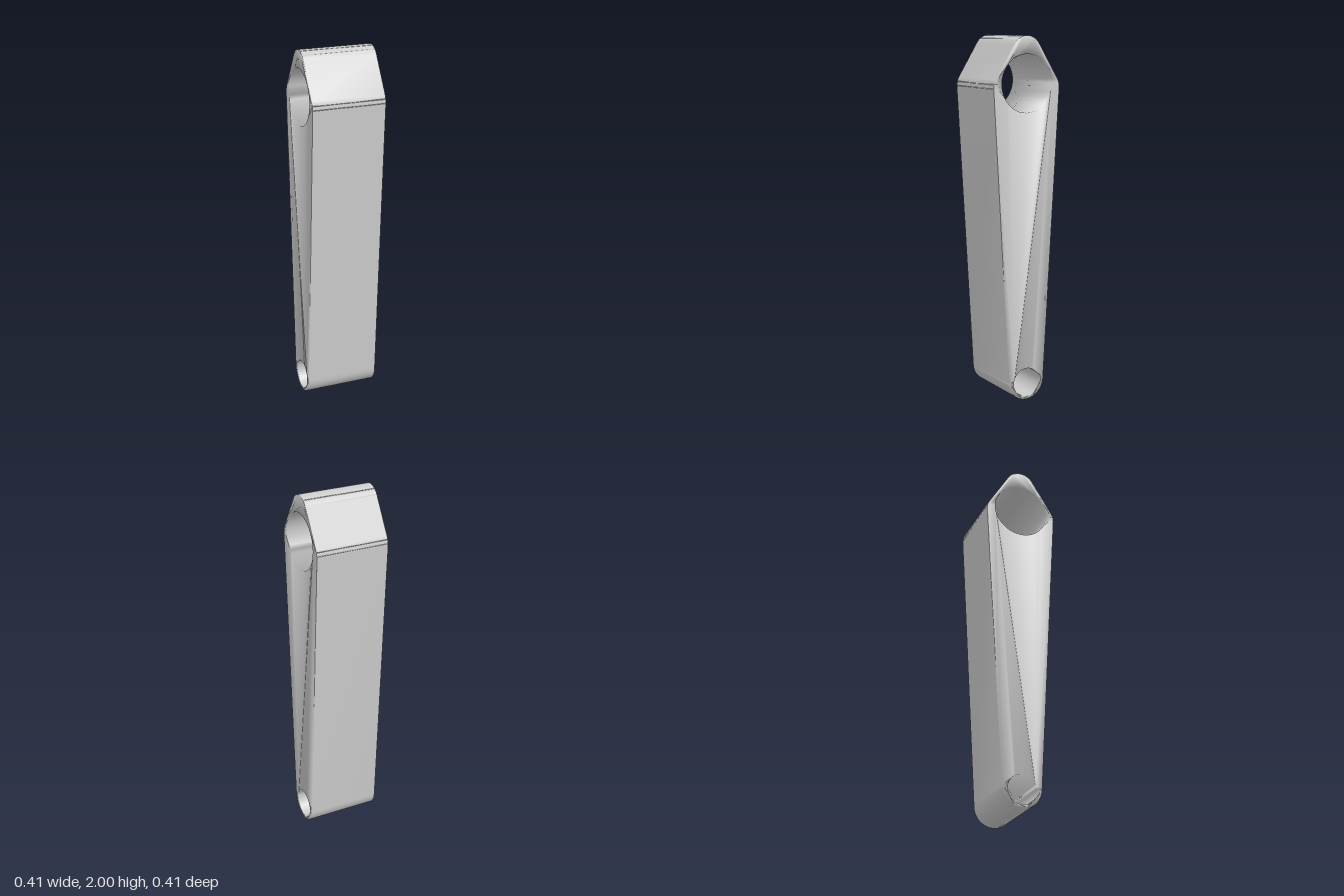
import * as THREE from 'three';
import { mergeVertices } from 'three/addons/utils/BufferGeometryUtils.js';

const WIDTH = 0.41;

// Tapering outline: rounded foot, straight flanks, soft shoulders, rounded crown
function makeOutline() {
  const s = new THREE.Shape();
  s.absarc(0, 0.11, 0.11, Math.PI, 2 * Math.PI, false);
  s.lineTo(0.203, 1.715);
  s.quadraticCurveTo(0.205, 1.745, 0.192, 1.769);
  s.lineTo(0.075, 1.958);
  s.absarc(0, 1.912, 0.088, 0.555, Math.PI - 0.555, false);
  s.lineTo(-0.192, 1.769);
  s.quadraticCurveTo(-0.205, 1.745, -0.203, 1.715);
  s.closePath();
  return s;
}

// Round hole through the full width
function makeBore(y, radius) {
  const hole = new THREE.Path();
  hole.absarc(0, y, radius, 0, 2 * Math.PI, true);
  return hole;
}

export function createModel() {
  const outline = makeOutline();
  outline.holes.push(makeBore(1.748, 0.155), makeBore(0.098, 0.08));

  let geometry = new THREE.ExtrudeGeometry(outline, {
    depth: WIDTH, bevelEnabled: false, curveSegments: 20,
  });
  geometry.translate(0, 0, -WIDTH / 2);
  geometry.rotateY(Math.PI / 2);

  // Normals shared across all edges give the soft shading
  geometry.deleteAttribute('normal');
  geometry.deleteAttribute('uv');
  geometry = mergeVertices(geometry, 1e-5);
  geometry.computeVertexNormals();

  const arm = new THREE.Mesh(geometry, new THREE.MeshStandardMaterial({ color: 0xcccccc }));
  arm.name = 'linkArm';
  const group = new THREE.Group();
  group.name = 'link';
  group.add(arm);
  return group;
}
